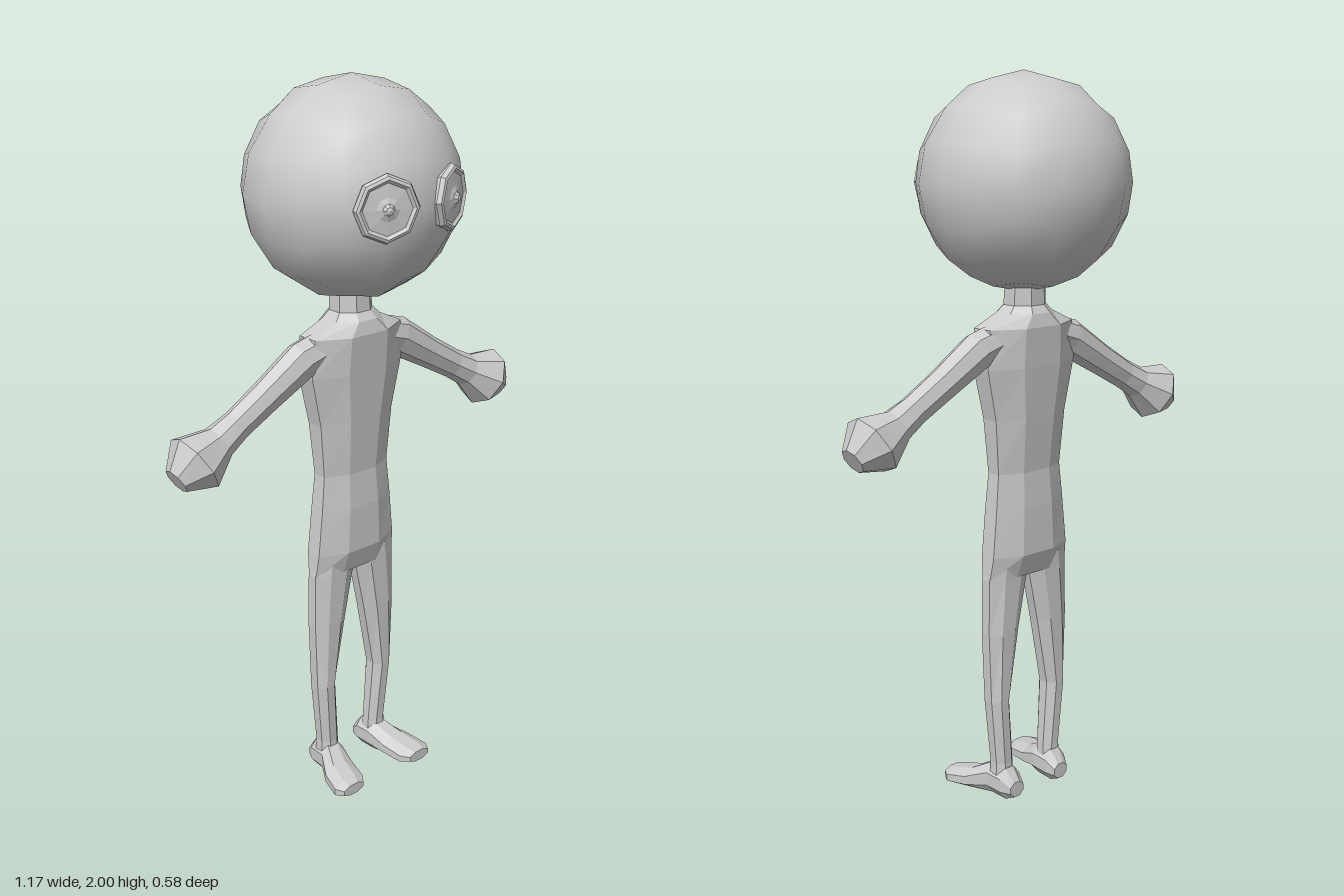
import * as THREE from 'three';

const SIDES = 8;
const flat = new THREE.MeshStandardMaterial({ color: 0xcccccc, flatShading: true });
const smooth = new THREE.MeshStandardMaterial({ color: 0xcccccc });
const X = new THREE.Vector3(1, 0, 0);
const Y = new THREE.Vector3(0, 1, 0);
const Z = new THREE.Vector3(0, 0, 1);

// Capped skin over octagonal rings [cx, cy, cz, ru, rv]; rings advance along u x v.
// shift 0.5 puts flat sides, not corners, on the u and v axes.
function loft(rings, u, v, shift = 0.5, mirrored = false) {
  const pos = [], index = [];
  const grow = shift ? 1 / Math.cos(Math.PI / SIDES) : 1;
  const sign = mirrored ? -1 : 1;
  const add = (p) => pos.push(p.x * sign, p.y, p.z);
  const tri = (a, b, c) => (mirrored ? index.push(a, c, b) : index.push(a, b, c));
  for (const [x, y, z, ru, rv] of rings) {
    for (let i = 0; i < SIDES; i++) {
      const t = ((i + shift) / SIDES) * Math.PI * 2;
      add(new THREE.Vector3(x, y, z)
        .addScaledVector(u, Math.cos(t) * ru * grow)
        .addScaledVector(v, Math.sin(t) * rv * grow));
    }
  }
  const last = (rings.length - 1) * SIDES;
  const start = pos.length / 3;
  add(new THREE.Vector3(...rings[0].slice(0, 3)));
  add(new THREE.Vector3(...rings[rings.length - 1].slice(0, 3)));
  for (let i = 0; i < SIDES; i++) {
    const j = (i + 1) % SIDES;
    for (let r = 0; r < last; r += SIDES) {
      tri(r + i, r + j, r + SIDES + j);
      tri(r + i, r + SIDES + j, r + SIDES + i);
    }
    tri(start, j, i);
    tri(start + 1, last + i, last + j);
  }
  const geo = new THREE.BufferGeometry();
  geo.setAttribute('position', new THREE.Float32BufferAttribute(pos, 3));
  geo.setIndex(index);
  geo.computeVertexNormals();
  return geo;
}

// Cube grid pushed out to a sphere, with radial normals
function quadSphere(radius) {
  const geo = new THREE.BoxGeometry(2, 2, 2, 4, 4, 4);
  const p = geo.attributes.position, n = geo.attributes.normal;
  const w = new THREE.Vector3();
  const even = (a) => Math.tan((a * Math.PI) / 4);
  for (let i = 0; i < p.count; i++) {
    w.fromBufferAttribute(p, i);
    w.set(even(w.x), even(w.y), even(w.z)).normalize();
    n.setXYZ(i, w.x, w.y, w.z);
    p.setXYZ(i, w.x * radius, w.y * radius, w.z * radius);
  }
  return geo;
}

export function createModel() {
  const model = new THREE.Group();
  const part = (name, geo, material = flat) => {
    const mesh = new THREE.Mesh(geo, material);
    mesh.name = name;
    model.add(mesh);
    return mesh;
  };

  // Head
  const headCentre = new THREE.Vector3(0, 1.716, -0.005);
  part('head', quadSphere(0.284), smooth).position.copy(headCentre);

  // Torso and neck: [y, z centre, half depth, half width]
  const torso = [
    [0.655, -0.007, 0.037, 0.14], [0.72, -0.008, 0.058, 0.135],
    [0.85, -0.007, 0.057, 0.122], [0.95, -0.007, 0.05, 0.112],
    [1.1, -0.008, 0.062, 0.125], [1.24, -0.008, 0.071, 0.155],
    [1.345, -0.006, 0.077, 0.148], [1.38, -0.006, 0.068, 0.075],
    [1.4, -0.008, 0.052, 0.056], [1.46, -0.01, 0.05, 0.054],
  ];
  part('torso', loft(torso.map(([y, z, d, w]) => [0, y, z, d, w]), Z, X));

  // Legs: [x, y, z, half depth, half width]
  const leg = [
    [0.09, 0.07, -0.01, 0.032, 0.032], [0.09, 0.11, -0.01, 0.03, 0.03],
    [0.105, 0.3, -0.008, 0.036, 0.032], [0.09, 0.5, -0.007, 0.037, 0.054],
    [0.0725, 0.655, -0.007, 0.036, 0.069], [0.07, 0.7, -0.008, 0.036, 0.063],
  ];

  // Feet, heel to toe: [x, y, z, half width, half height]
  const foot = [
    [0.085, 0.038, -0.07, 0.024, 0.022], [0.088, 0.05, -0.042, 0.036, 0.046],
    [0.09, 0.053, 0.012, 0.038, 0.047], [0.112, 0.038, 0.07, 0.05, 0.03],
    [0.125, 0.03, 0.13, 0.052, 0.024], [0.128, 0.032, 0.155, 0.036, 0.016],
  ];

  // Arms ending in a rounded fist: [x, y, z, half depth, half height]
  const arm = [
    [0.07, 1.32, -0.007, 0.05, 0.05], [0.165, 1.29, -0.008, 0.045, 0.054],
    [0.29, 1.215, -0.009, 0.04, 0.045], [0.38, 1.163, -0.009, 0.039, 0.042],
    [0.435, 1.132, -0.009, 0.048, 0.046], [0.51, 1.095, -0.008, 0.082, 0.085],
    [0.568, 1.062, -0.006, 0.038, 0.036],
  ];
  const along = new THREE.Vector3(0.87, -0.49, 0).normalize();
  const across = along.clone().cross(Z);

  // Octagonal eye: raised rim, shallow dish and pupil bump (radius, distance from head centre)
  const eyeProfile = [
    [0.078, 0.25], [0.085, 0.272], [0.08, 0.283], [0.072, 0.286], [0.064, 0.28],
    [0.03, 0.283], [0.016, 0.288], [0.009, 0.297], [0, 0.3],
  ].map(([r, d]) => new THREE.Vector2(r, d));
  const eyeGeo = new THREE.LatheGeometry(eyeProfile, SIDES);
  eyeGeo.rotateX(Math.PI / 2);

  for (const [side, mirrored] of [['left', false], ['right', true]]) {
    part(side + 'Leg', loft(leg, Z, X, 0.5, mirrored));
    part(side + 'Foot', loft(foot, X, Y, 0.5, mirrored));
    part(side + 'Arm', loft(arm, Z, across, 0, mirrored));
    const eye = part(side + 'Eye', eyeGeo, new THREE.MeshStandardMaterial({
      color: 0xcccccc, flatShading: true, side: THREE.DoubleSide,
    }));
    eye.position.copy(headCentre);
    eye.rotation.y = (mirrored ? -1 : 1) * 0.395;
  }

  return model;
}
